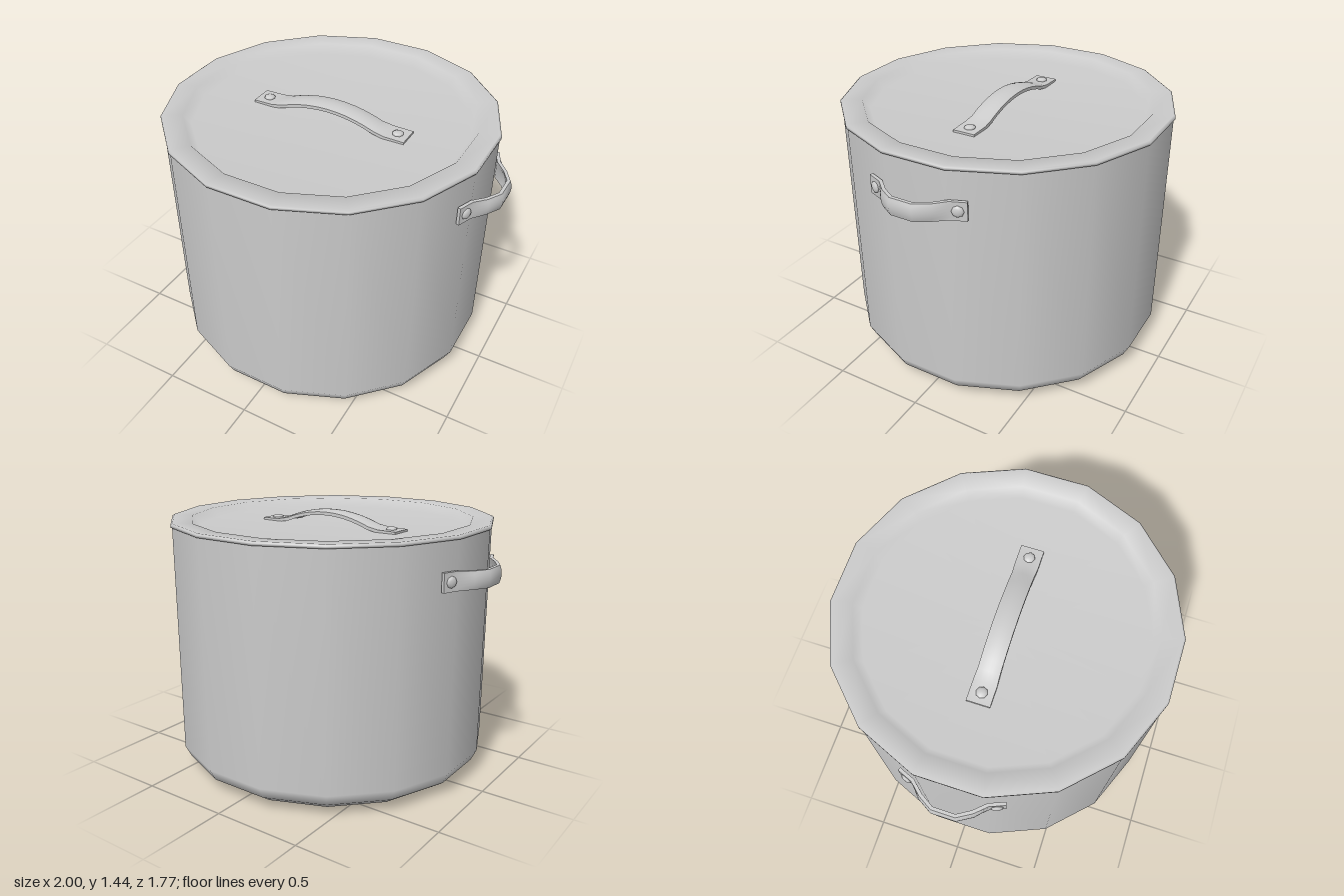
import * as THREE from 'three';
import { toCreasedNormals } from 'three/addons/utils/BufferGeometryUtils.js';

const metal = new THREE.MeshStandardMaterial({ color: 0xcccccc, side: THREE.DoubleSide });

function part(name, geometry, parent) {
  const mesh = new THREE.Mesh(geometry, metal);
  mesh.name = name;
  parent.add(mesh);
  return mesh;
}

// 16-sided turned shape with flats facing the axes
function turned(points) {
  return new THREE.LatheGeometry(points.map(p => new THREE.Vector2(...p)), 16, Math.PI / 16);
}

// Bent strap: half path of [along, height] from the tip to the middle, mirrored.
// The first `flat` stations are a flat plate, the rest is a crowned grip.
function strapGeometry(half, width, thickness, flat) {
  const path = [
    ...half.map(([u, v]) => [-u, v]),
    ...half.slice().reverse().filter(p => p[0] > 0),
  ];
  const n = path.length, across = 6, positions = [], index = [];
  path.forEach(([u, v], i) => {
    const a = path[Math.max(i - 1, 0)], b = path[Math.min(i + 1, n - 1)];
    const t = new THREE.Vector2(b[0] - a[0], b[1] - a[1]).normalize();
    const grip = Math.min(i, n - 1 - i) >= flat;
    const w = width * (grip ? 0.94 : 1), crown = grip ? 0.01 : 0;
    for (let k = 0; k < 2 * (across + 1); k++) {
      const top = k <= across;
      const s = top ? (2 * k) / across - 1 : 1 - (2 * (k - across - 1)) / across;
      const d = -crown * s * s - (top ? 0 : thickness);
      positions.push(u - t.y * d, v + t.x * d, s * w / 2);
    }
  });
  const m = 2 * (across + 1);
  for (let i = 0; i < n - 1; i++) {
    for (let k = 0; k < m; k++) {
      const a = i * m + k, b = i * m + (k + 1) % m;
      index.push(a, b, a + m, b, b + m, a + m);
    }
  }
  // End caps
  for (let k = 1; k < m - 1; k++) {
    const e = (n - 1) * m;
    index.push(0, k + 1, k, e, e + k, e + k + 1);
  }
  const geometry = new THREE.BufferGeometry();
  geometry.setAttribute('position', new THREE.Float32BufferAttribute(positions, 3));
  geometry.setIndex(index);
  return toCreasedNormals(geometry, 0.9);
}

// Strap with a domed rivet on each end plate
function handle(name, half, width, flat, rivet) {
  const group = new THREE.Group();
  group.name = name;
  part(name + 'Strap', strapGeometry(half, width, 0.018, flat), group);
  for (const side of [-1, 1]) {
    const head = part(name + 'Rivet', new THREE.SphereGeometry(0.031, 8, 6), group);
    head.scale.y = 0.45;
    head.position.set(side * rivet.u, rivet.v, 0);
    head.rotation.z = -side * rivet.tilt;
  }
  return group;
}

export function createModel() {
  const model = new THREE.Group();
  model.name = 'stockPot';

  // Pot with a rounded base
  part('potBody', turned([
    [0, 0], [0.71, 0], [0.79, 0.025], [0.86, 0.075], [0.892, 0.14], [0.892, 1.392],
  ]), model);

  // Sunken lid with a raised rim
  part('lid', turned([
    [0.885, 1.388], [0.9, 1.39], [0.9, 1.403], [0.89, 1.41],
    [0.785, 1.405], [0.745, 1.355], [0, 1.35],
  ]), model);

  // Arched lid handle
  const arch = [[0.45, 1.365], [0.34, 1.367]];
  for (let i = 5; i >= 0; i--) {
    const x = 0.056 * i;
    arch.push([x, 1.442 - 0.7 * x * x]);
  }
  model.add(handle('lidHandle', arch, 0.125, 2, { u: 0.39, v: 1.368, tilt: 0 }));

  // Loop handles on both sides
  const loop = [[0.28, 0.858], [0.2, 0.89], [0.145, 0.953], [0.065, 1.0]];
  for (const side of [-1, 1]) {
    const grip = handle(side > 0 ? 'leftHandle' : 'rightHandle', loop, 0.1, 2,
      { u: 0.237, v: 0.876, tilt: 0.4 });
    grip.rotation.set(Math.PI / 2, side * Math.PI / 2, 0, 'YXZ');
    grip.position.y = 1.19;
    model.add(grip);
  }
  return model;
}
